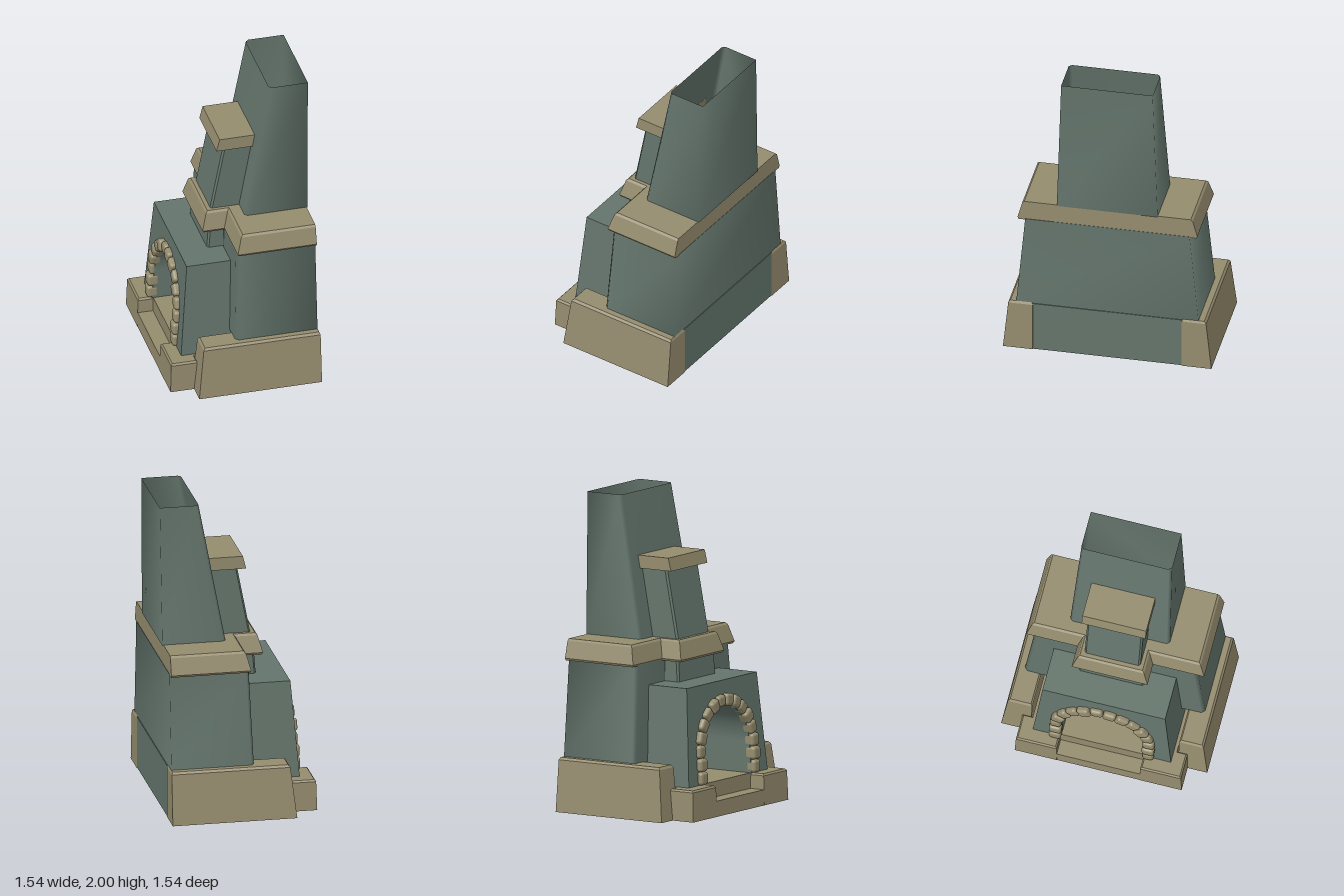
import * as THREE from 'three';
import { RoundedBoxGeometry } from 'three/addons/geometries/RoundedBoxGeometry.js';

const stone = new THREE.MeshStandardMaterial({ color: 0x958c6e });
stone.name = 'tan stone';
const plaster = new THREE.MeshStandardMaterial({ color: 0x64756c });
plaster.name = 'green plaster';
const plasterShell = new THREE.MeshStandardMaterial({ color: 0x64756c, side: THREE.DoubleSide });
plasterShell.name = 'green plaster shell';

// Plan outline, with optional chamfers on the two front corners
function rect(x0, x1, z0, z1, c = 0) {
  if (!c) return [[x1, z1], [x1, z0], [x0, z0], [x0, z1]];
  return [[x1 - c, z1], [x1, z1 - c], [x1, z0], [x0, z0], [x0, z1 - c], [x0 + c, z1]];
}

// Solid (or open shell) through plan outlines stacked in height: rings = [[y, outline], ...]
function loft(rings, { smooth = false, capped = true } = {}) {
  const pos = [], index = [], n = rings[0][1].length;
  const addRing = ([y, pts]) => pts.forEach(([x, z]) => pos.push(x, y, z));
  rings.forEach(addRing);
  for (let r = 0; r < rings.length - 1; r++) {
    for (let i = 0; i < n; i++) {
      const a = r * n + i, b = r * n + (i + 1) % n;
      index.push(a, b, b + n, a, b + n, a + n);
    }
  }
  if (capped) {
    [rings[0], rings[rings.length - 1]].forEach((ring, top) => {
      const base = pos.length / 3;
      addRing(ring);
      const flat = ring[1].map(([x, z]) => new THREE.Vector2(x, -z));
      for (const [a, b, c] of THREE.ShapeUtils.triangulateShape(flat, [])) {
        index.push(base + a, base + (top ? b : c), base + (top ? c : b));
      }
    });
  }
  let geo = new THREE.BufferGeometry();
  geo.setAttribute('position', new THREE.Float32BufferAttribute(pos, 3));
  geo.setIndex(index);
  if (!smooth) geo = geo.toNonIndexed();
  geo.computeVertexNormals();
  return geo;
}

export function createModel() {
  const model = new THREE.Group();
  model.name = 'fireplace';
  const body = new THREE.Group();
  body.name = 'cornerTurnedFireplace';
  body.rotation.y = -Math.PI / 4;
  model.add(body);

  const add = (name, geo, mat) => {
    const mesh = new THREE.Mesh(geo, mat);
    mesh.name = name;
    body.add(mesh);
    return mesh;
  };

  // Floor and rear of the base
  add('firebedFloor', loft([[0, rect(-0.47, 0.47, -0.405, 0.44)], [0.2, rect(-0.47, 0.47, -0.405, 0.44)]]), stone);
  add('baseRear', loft([[0.003, rect(-0.485, 0.485, -0.41, 0)], [0.34, rect(-0.485, 0.485, -0.41, 0)]]), plaster);

  // Tapered plinths and hearth posts on both sides
  for (const s of [1, -1]) {
    const side = (x0, x1, z0, z1) => (s > 0 ? rect(x0, x1, z0, z1) : rect(-x1, -x0, z0, z1));
    add(s > 0 ? 'leftPlinth' : 'rightPlinth', loft([
      [0, side(0.48, 0.672, -0.412, 0.39)],
      [0.33, side(0.48, 0.638, -0.412, 0.352)],
      [0.345, side(0.49, 0.625, -0.405, 0.34)],
    ]), stone);
    add(s > 0 ? 'leftHearthPost' : 'rightHearthPost', loft([
      [0, side(0.27, 0.544, 0.365, 0.544)],
      [0.188, side(0.272, 0.538, 0.368, 0.538)],
      [0.2, side(0.282, 0.528, 0.375, 0.528)],
    ]), stone);
  }
  add('hearthStep', loft([[0, rect(-0.28, 0.28, 0.36, 0.543)], [0.1, rect(-0.28, 0.28, 0.36, 0.54)]]), stone);

  // Main body, notched at the front to leave room for the firebox
  const bodyPlan = (x, z, k) => [
    [x - 0.02, z], [x, z - 0.02], [x, -0.405], [-x, -0.405], [-x, z - 0.02], [-x + 0.02, z],
    [-k - 0.02, z], [-k, z], [-k, 0], [k, 0], [k, z], [k + 0.02, z],
  ];
  add('mainBody', loft([[0.34, bodyPlan(0.588, 0.13, 0.275)], [0.965, bodyPlan(0.53, 0.108, 0.2)]], { smooth: true }), plaster);

  // Firebox hood with an arched opening; its front leans back
  const hoodFront = (y) => 0.45 - 0.08 * (y - 0.2);
  const arch = new THREE.Shape();
  arch.moveTo(-0.45, 0.2);
  arch.lineTo(-0.265, 0.2);
  arch.lineTo(-0.265, 0.4);
  arch.absarc(0, 0.4, 0.265, Math.PI, 0, true);
  arch.lineTo(0.265, 0.2);
  arch.lineTo(0.45, 0.2);
  arch.lineTo(0.4, 0.825);
  arch.lineTo(-0.4, 0.825);
  const hood = new THREE.ExtrudeGeometry(arch, { depth: 1, bevelEnabled: false, curveSegments: 24 });
  const p = hood.attributes.position;
  for (let i = 0; i < p.count; i++) p.setZ(i, p.getZ(i) * hoodFront(p.getY(i)));
  hood.computeVertexNormals();
  add('fireboxHood', hood, plaster);

  // Rounded stones following the arch
  const R = 0.302, leg = 0.2, total = 2 * leg + Math.PI * R, count = 16;
  const stones = new THREE.Group();
  stones.name = 'archStones';
  body.add(stones);
  for (let i = 0; i < count; i++) {
    const d = ((i + 0.5) / count) * total;
    let x, y, turn = 0;
    if (d < leg) [x, y] = [-R, 0.2 + d];
    else if (d > total - leg) [x, y] = [R, 0.2 + total - d];
    else {
      const a = Math.PI - (d - leg) / R;
      [x, y, turn] = [R * Math.cos(a), 0.4 + R * Math.sin(a), a];
    }
    const wobble = 0.004 * Math.sin(i * 2.4);
    const block = new THREE.Mesh(new RoundedBoxGeometry(0.078 + wobble, total / count - 0.002, 0.075, 3, 0.02), stone);
    block.name = 'archStone';
    block.position.set(x, y, hoodFront(y) - 0.005 + wobble);
    block.rotation.z = turn;
    stones.add(block);
  }

  // Breast between the hood and the mantel
  add('breast', loft([[0.8, rect(-0.214, 0.214, 0, 0.218, 0.012)], [0.97, rect(-0.21, 0.21, 0, 0.205, 0.012)]]), plaster);

  // Mantel shelf, stepped forward in the middle
  const mantelPlan = (s) => [
    [0.58 - s, 0.113 - s], [0.58 - s, -0.403], [s - 0.58, -0.403], [s - 0.58, 0.113 - s],
    [s - 0.247, 0.113 - s], [s - 0.247, 0.255 - s], [0.247 - s, 0.255 - s], [0.247 - s, 0.113 - s],
  ];
  add('mantel', loft([
    [0.958, mantelPlan(0.008)], [0.972, mantelPlan(0)], [1.08, mantelPlan(0.03)], [1.093, mantelPlan(0.043)],
  ]), stone);

  // Leaning pilaster with its cap
  add('pilaster', loft([[1.09, rect(-0.182, 0.182, -0.01, 0.187, 0.012)], [1.54, rect(-0.182, 0.182, -0.085, 0.1, 0.012)]]), plaster);
  add('pilasterCap', loft([[1.527, rect(-0.208, 0.208, -0.083, 0.154)], [1.61, rect(-0.208, 0.208, -0.097, 0.133)]]), stone);

  // Open chimney flue
  add('chimney', loft([
    [1.09, rect(-0.325, 0.325, -0.41, 0.0, 0.018)],
    [2, rect(-0.295, 0.295, -0.42, -0.168, 0.018)],
  ], { smooth: true, capped: false }), plasterShell);

  return model;
}
